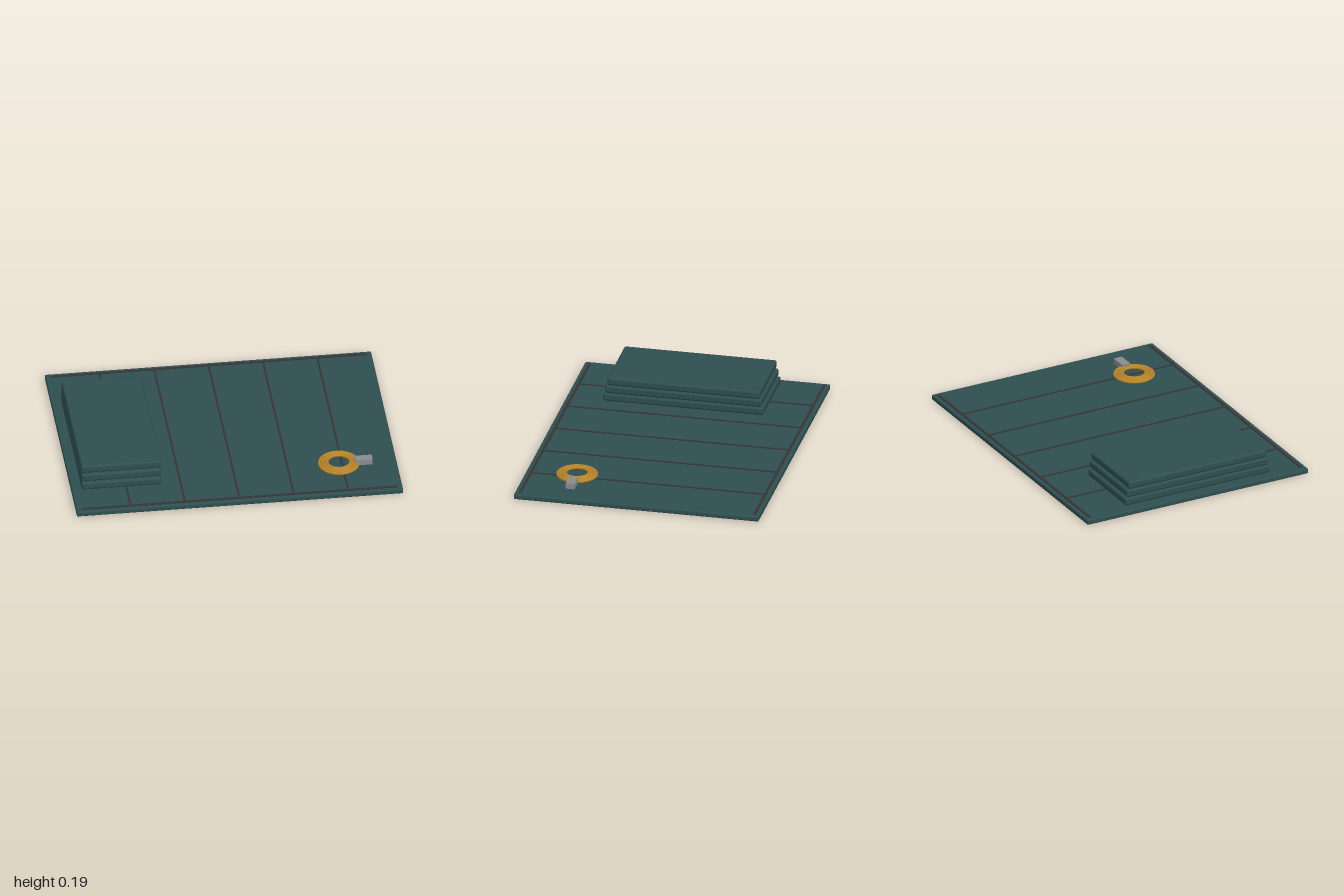
import * as THREE from 'three';
import { RoundedBoxGeometry } from 'three/addons/geometries/RoundedBoxGeometry.js';

const material = (color) => new THREE.MeshStandardMaterial({ color });

export function createModel() {
  const group = new THREE.Group();
  const cloth = material(0x2f4f50);
  const thread = material(0x383436);
  const rope = material(0xb8862b);
  const metal = material(0x8a8c90);

  const add = (name, geometry, mat, x, y, z) => {
    const mesh = new THREE.Mesh(geometry, mat);
    mesh.name = name;
    mesh.position.set(x, y, z);
    group.add(mesh);
    return mesh;
  };

  // Spread sheet lying on the ground
  add('sheet', new RoundedBoxGeometry(2, 0.032, 1.526, 3, 0.008), cloth, 0, 0.016, 0);

  // Cross seams between the panels
  for (let i = -2; i <= 2; i++) {
    add('panelSeam', new THREE.BoxGeometry(0.012, 0.006, 1.46), thread, i / 3, 0.033, 0);
  }
  // Hems along the front and back edges
  for (const side of [-1, 1]) {
    add('edgeHem', new THREE.BoxGeometry(1.935, 0.006, 0.016), thread, 0, 0.033, side * 0.73);
  }

  // Folded layers, each a little shorter than the one below
  for (let i = 0; i < 3; i++) {
    const layer = new RoundedBoxGeometry(0.49, 0.05, 0.998 - i * 0.024, 3, 0.014);
    add('foldedLayer', layer, cloth, -0.695, 0.06 + i * 0.0525, 0.031);
  }

  // Rope coil, its inner turns lying slightly higher
  for (let i = 0; i < 4; i++) {
    const turn = new THREE.TorusGeometry(0.118 - i * 0.0155, 0.0095, 10, 48);
    turn.rotateX(Math.PI / 2);
    add('ropeTurn', turn, rope, 0.646, 0.045 + i * 0.0025, 0.446);
  }

  // Metal clip at the rope end
  add('clip', new THREE.BoxGeometry(0.108, 0.035, 0.055), metal, 0.796, 0.0515, 0.444);

  return group;
}
